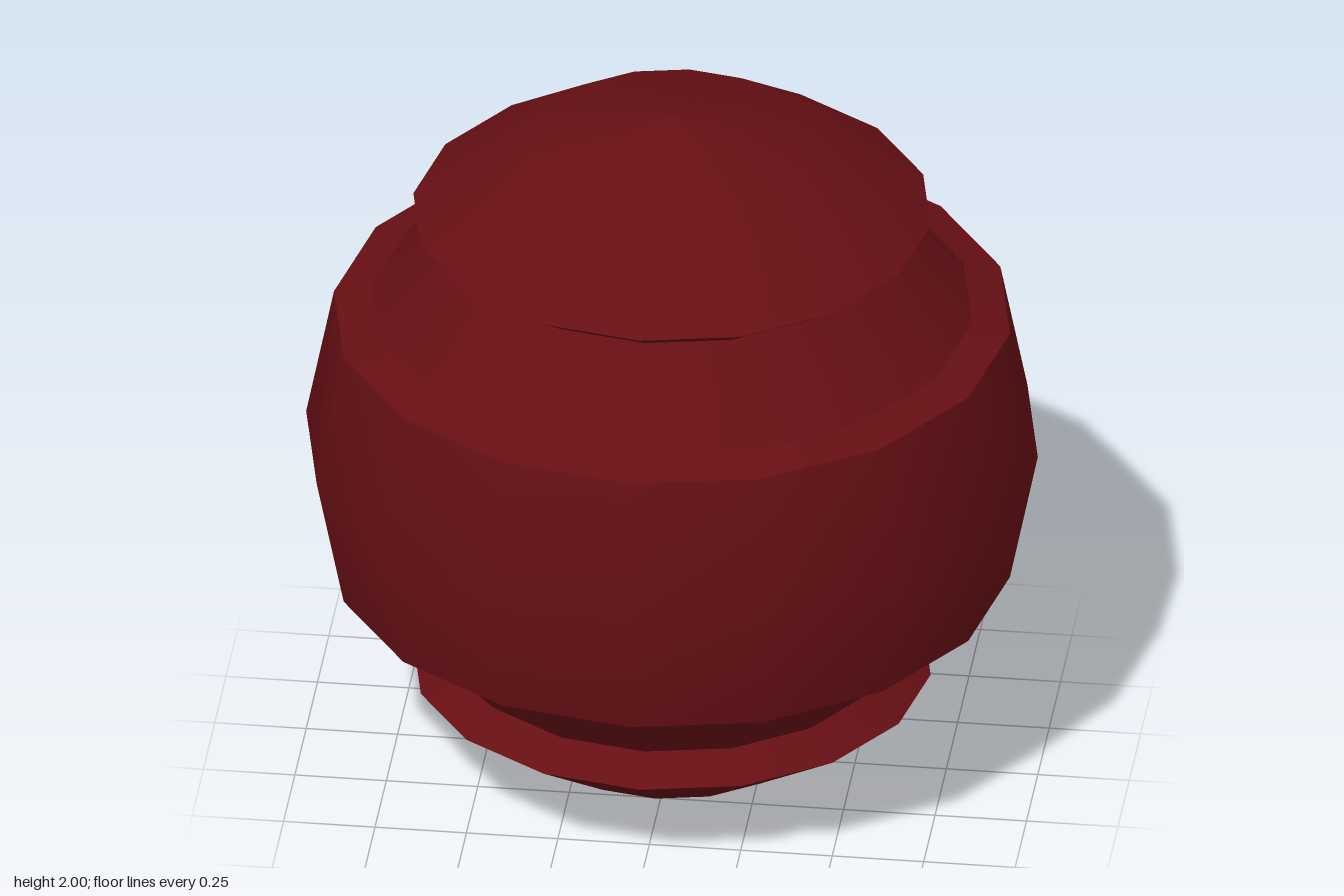
import * as THREE from 'three';

const SIDES = 16;

export function createModel() {
  const model = new THREE.Group();
  const material = new THREE.MeshStandardMaterial({ color: 0x660f14 });

  // One smooth turned band; profile runs bottom to top as [radius, height from the middle]
  const band = (name, profile) => {
    const points = profile.map(([r, h]) => new THREE.Vector2(r, 1 + h));
    const mesh = new THREE.Mesh(new THREE.LatheGeometry(points, SIDES), material);
    mesh.name = name;
    model.add(mesh);
  };

  // The same band above and below the middle
  const mirroredBand = (name, profile) => {
    band('upper' + name, profile);
    band('lower' + name, profile.map(([r, h]) => [r, -h]).reverse());
  };

  // Wide faceted belt round the middle
  band('belt', [[0.924, -0.383], [1, 0], [0.924, 0.383]]);

  // Narrow ledge on the belt's rim
  mirroredBand('Ledge', [[0.924, 0.383], [0.82, 0.41]]);

  // Sloping shoulder up to the groove
  mirroredBand('Shoulder', [[0.82, 0.41], [0.61, 0.643]]);

  // Underside of the overhanging cap
  mirroredBand('CapUnderside', [[0.61, 0.643], [0.707, 0.707]]);

  // Domed cap
  mirroredBand('Cap', [[0.707, 0.707], [0.383, 0.924], [0, 1]]);

  return model;
}
